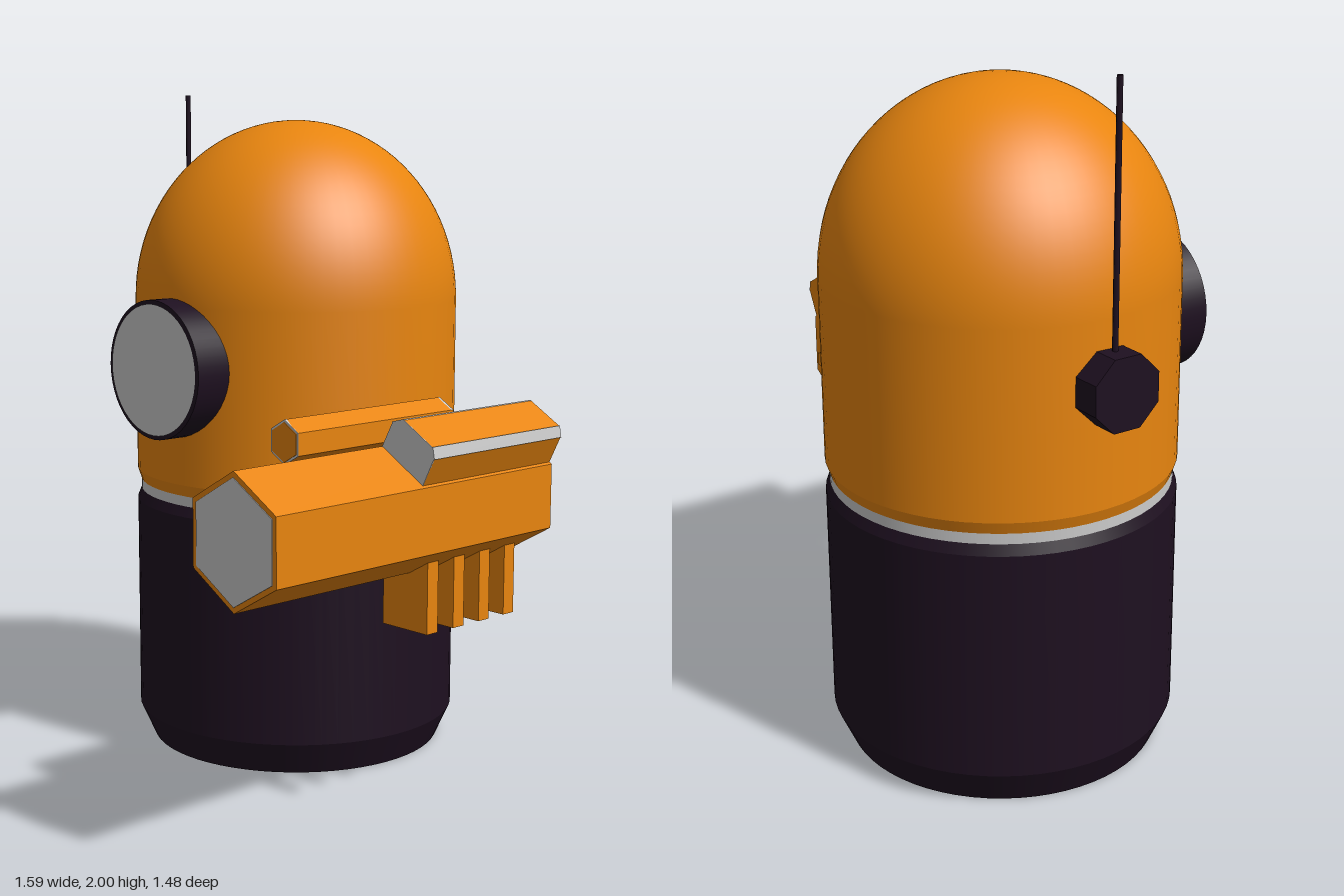
import * as THREE from 'three';

const CX = -0.23, CZ = -0.24, R = 0.495;
const mat = (color, side = THREE.FrontSide) => new THREE.MeshStandardMaterial({ color, side });
const orange = mat(0xe8850f), dark = mat(0x1e1020), grey = mat(0xcccccc);

export function createModel() {
  const model = new THREE.Group();

  const add = (name, geometry, material, x = 0, y = 0, z = 0, parent = model) => {
    const mesh = new THREE.Mesh(geometry, material);
    mesh.name = name;
    mesh.position.set(x, y, z);
    parent.add(mesh);
    return mesh;
  };
  const lathe = (name, pts, material) =>
    add(name, new THREE.LatheGeometry(pts.map(p => new THREE.Vector2(...p)), 64), material, CX, 0, CZ);
  // Straight prism along z from an outline in x and y
  const prism = (name, pts, z0, z1, material, parent) => {
    const shape = new THREE.Shape(pts.map(p => new THREE.Vector2(...p)));
    return add(name, new THREE.ExtrudeGeometry(shape, { depth: z1 - z0, bevelEnabled: false }), material, 0, 0, z0, parent);
  };
  const hex = (x, y, r) => Array.from({ length: 6 }, (_, i) => {
    const a = Math.PI / 2 + i * Math.PI / 3;
    return [x + r * Math.cos(a), y + r * Math.sin(a)];
  });

  // Capsule body: dark base, pale band, orange dome
  const bottom = add('baseBottom', new THREE.CircleGeometry(0.45, 64), grey, CX, 0, CZ);
  bottom.rotation.x = Math.PI / 2;
  lathe('baseChamfer', [[0.45, 0], [R, 0.1]], dark);
  lathe('base', [[R, 0.1], [R, 0.76]], dark);
  lathe('baseShoulder', [[R, 0.76], [0.483, 0.79]], dark);
  lathe('band', [[0.483, 0.79], [0.483, 0.82]], grey);
  lathe('domeLip', [[0.483, 0.82], [R, 0.855]], orange);
  const dome = [[R, 0.855], [R, 1.1]];
  for (let i = 0; i <= 24; i++) {
    const a = i / 24 * Math.PI / 2;
    dome.push([R * Math.cos(a), 1.38 + 0.54 * Math.sin(a)]);
  }
  dome[dome.length - 1][0] = 0;
  lathe('dome', dome, orange);

  // Round eye
  const eye = new THREE.Group();
  eye.name = 'eye';
  model.add(eye);
  add('eyeHousing', new THREE.CylinderGeometry(0.205, 0.205, 0.2, 48), dark, CX, 1.2, 0.225, eye).rotation.x = Math.PI / 2;
  add('eyeLens', new THREE.CircleGeometry(0.193, 48), grey, CX, 1.2, 0.328, eye);

  // Eight-sided ear with its antenna
  const earShape = new THREE.CylinderGeometry(0.108, 0.108, 0.12, 8).rotateY(Math.PI / 8).toNonIndexed();
  earShape.computeVertexNormals();
  add('ear', earShape, dark, -0.74, 1.2, CZ).rotation.z = Math.PI / 2;
  add('antenna', new THREE.CylinderGeometry(0.008, 0.008, 0.75, 8), dark, -0.745, 1.625, CZ);

  // Six-sided cannon
  const cannon = new THREE.Group();
  cannon.name = 'cannon';
  model.add(cannon);
  prism('barrel', hex(0.6, 0.89, 0.18), -0.29, 0.738, orange, cannon);
  prism('muzzle', hex(0.6, 0.89, 0.164), 0.73, 0.74, grey, cannon);

  // Slim side tube with pale rims at both ends
  prism('sideTube', hex(0.49, 1.095, 0.06), -0.118, 0.466, orange, cannon);
  for (const [z0, z1, out] of [[0.46, 0.468, 1], [-0.12, -0.112, -1]]) {
    prism('sideTubeRim', hex(0.49, 1.095, 0.06), z0, z1, grey, cannon);
    prism('sideTubeCap', hex(0.49, 1.095, 0.053), z0 + out * 0.002, z1 + out * 0.002, orange, cannon);
  }

  // Upper housing on the slanted barrel face, with pale bevels and front
  const outline = [[0.6, 1.07], [0.636, 1.137], [0.678, 1.148], [0.778, 1.09], [0.784, 1.058], [0.747, 0.984], [0.65, 0.95]];
  prism('housing', outline, -0.29, 0.218, orange, cannon);
  prism('housingFront', outline, 0.216, 0.22, grey, cannon);
  for (const i of [1, 3]) {
    const [a, b] = [outline[i], outline[i + 1]];
    const len = Math.hypot(b[0] - a[0], b[1] - a[1]);
    const nx = -(b[1] - a[1]) / len * 0.003, ny = (b[0] - a[0]) / len * 0.003;
    prism('housingBevel', [a, b, [b[0] + nx, b[1] + ny], [a[0] + nx, a[1] + ny]], -0.29, 0.22, grey, cannon);
  }

  // Four fins below the barrel
  for (let i = 0; i < 4; i++)
    add('fin', new THREE.BoxGeometry(0.165, 0.25, 0.042), orange, 0.585, 0.675, 0.09 - i * 0.104, cannon);

  // Rear lever and loose rod
  add('leverPost', new THREE.BoxGeometry(0.045, 0.04, 0.08), orange, 0.597, 0.892, -0.318, cannon);
  add('lever', new THREE.BoxGeometry(0.032, 0.17, 0.024), orange, 0.564, 0.955, -0.346, cannon).rotation.z = 0.52;
  add('rod', new THREE.CylinderGeometry(0.014, 0.014, 0.17, 8), grey, 0.49, 1.088, -0.293, cannon).rotation.x = Math.PI / 2;

  return model;
}
